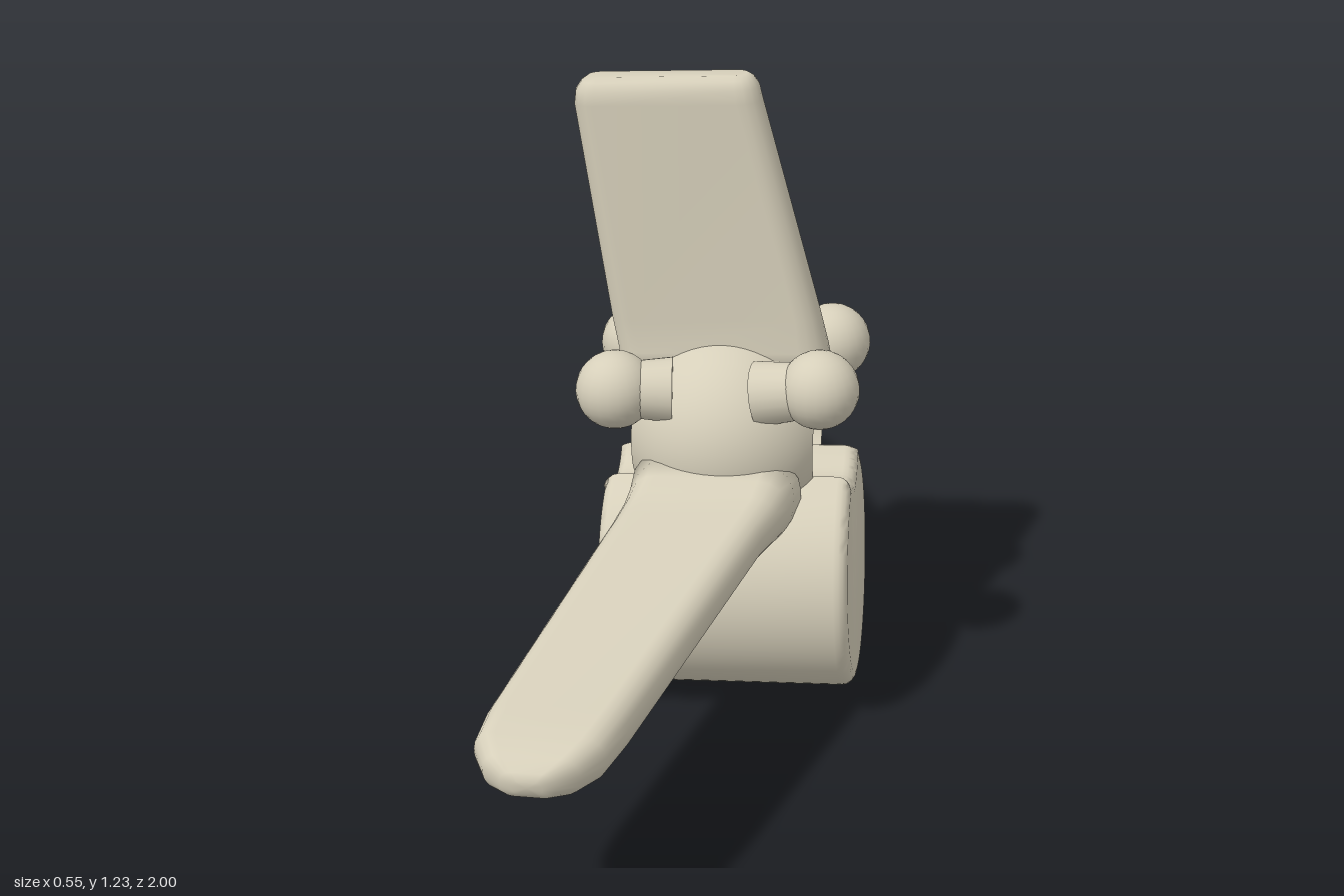
import * as THREE from 'three';
import { toCreasedNormals } from 'three/addons/utils/BufferGeometryUtils.js';

// Rounded slab along +y. Each section is [y, xMin, xMax, halfThickness]; slant tilts the sections.
function loft(sections, slant = 0) {
  const pos = [], idx = [], corner = 5, n = corner * 4;
  for (const [y, x0, x1, h] of sections) {
    const mid = (x0 + x1) / 2, w = (x1 - x0) / 2, r = Math.min(h * 0.85, w);
    for (let j = 0; j < n; j++) {
      const q = Math.floor(j / corner);
      const a = (q + (j % corner) / (corner - 1)) * Math.PI / 2;
      const sx = q === 0 || q === 3 ? 1 : -1, sz = q < 2 ? 1 : -1;
      const x = mid + sx * (w - r) + r * Math.cos(a);
      pos.push(x, y + slant * (x - mid), sz * (h - r) + r * Math.sin(a));
    }
  }
  const last = sections.length - 1;
  for (let i = 0; i < last; i++) {
    for (let j = 0; j < n; j++) {
      const k = (j + 1) % n, a = i * n + j, b = i * n + k;
      idx.push(a, a + n, b, b, a + n, b + n);
    }
  }
  // End caps
  for (const i of [0, last]) {
    const [y, x0, x1] = sections[i], c = pos.length / 3;
    pos.push((x0 + x1) / 2, y, 0);
    for (let j = 0; j < n; j++) {
      const a = i * n + j, b = i * n + (j + 1) % n;
      if (i) idx.push(c, b, a);
      else idx.push(c, a, b);
    }
  }
  const g = new THREE.BufferGeometry();
  g.setAttribute('position', new THREE.Float32BufferAttribute(pos, 3));
  g.setIndex(idx);
  g.computeVertexNormals();
  return g;
}

export function createModel() {
  const model = new THREE.Group();
  const clay = new THREE.MeshStandardMaterial({ name: 'clay beige', color: 0xd6cfba });
  const add = (name, geometry) => {
    const m = new THREE.Mesh(geometry, clay);
    m.name = name;
    model.add(m);
    return m;
  };
  const hubY = 0.535, hole = 0.1;

  // Drum: a disc with a round groove along its top, extruded along x and slightly tilted
  const R = 0.235, d = hubY - 0.247, groove = hole + 0.001;
  const lipY = (d * d + R * R - groove * groove) / (2 * d);
  const lipX = Math.sqrt(R * R - lipY * lipY);
  const lip = Math.atan2(lipY, lipX), bite = Math.atan2(lipY - d, lipX);
  const disc = new THREE.Shape();
  disc.absarc(0, 0, R, Math.PI - lip, Math.PI * 2 + lip, false);
  disc.absarc(0, d, groove, bite, -Math.PI - bite, true);
  const bevel = 0.025, length = 0.475;
  const drumGeo = new THREE.ExtrudeGeometry(disc, {
    depth: length - 2 * bevel, steps: 1, curveSegments: 40,
    bevelEnabled: true, bevelSize: bevel, bevelThickness: bevel, bevelOffset: -bevel, bevelSegments: 4,
  });
  drumGeo.translate(0, 0, bevel - length / 2).rotateY(Math.PI / 2);
  const drum = add('drum', toCreasedNormals(drumGeo, 0.8));
  drum.position.set(0.0275, 0.247, 0);
  drum.rotation.z = 0.045;

  // Hub: a ball bored through along x
  const hubR = 0.2, end = Math.acos(hole / hubR), profile = [];
  for (let i = 0; i <= 20; i++) {
    const a = -end + 2 * end * i / 20;
    profile.push(new THREE.Vector2(hubR * Math.cos(a), hubR * Math.sin(a)));
  }
  profile.push(profile[0].clone());
  const hubGeo = new THREE.LatheGeometry(profile, 48).rotateZ(Math.PI / 2);
  add('hub', toCreasedNormals(hubGeo, 0.9)).position.set(0.01, hubY, 0);

  // Upright fin
  add('fin', loft([
    [0.66, -0.2, 0.21, 0.06], [0.71, -0.2, 0.2, 0.06], [0.77, -0.212, 0.185, 0.051],
    [1.18, -0.275, 0.072, 0.05], [1.205, -0.272, 0.066, 0.047],
    [1.22, -0.262, 0.056, 0.038], [1.228, -0.25, 0.044, 0.025],
  ], 0.045));

  // Two swept blades, drooping to each side
  const bladeGeo = loft([
    [0.13, -0.155, 0.165, 0.072], [0.2, -0.152, 0.15, 0.068], [0.24, -0.155, 0.135, 0.058],
    [0.3, -0.165, 0.112, 0.051], [0.86, -0.268, -0.035, 0.046], [0.93, -0.272, -0.058, 0.044],
    [0.975, -0.248, -0.09, 0.036], [1.0, -0.215, -0.125, 0.024], [1.007, -0.195, -0.145, 0.012],
  ]);
  for (const s of [-1, 1]) {
    const blade = add(s > 0 ? 'frontBlade' : 'backBlade', bladeGeo);
    blade.position.y = 0.482;
    blade.rotation.x = s * (Math.PI / 2 + 0.148);
  }

  // Four knobs on short necks around the top of the hub
  const knobGeo = new THREE.SphereGeometry(0.074, 24, 16);
  const up = new THREE.Vector3(0, 1, 0);
  for (const sx of [-1, 1]) {
    for (const sz of [-1, 1]) {
      const knob = new THREE.Vector3(sx > 0 ? 0.197 : -0.186, sx > 0 ? 0.676 : 0.656, sz * 0.13);
      const root = new THREE.Vector3(sx * 0.08, 0.655, sz * 0.115);
      add('knob', knobGeo).position.copy(knob);
      const neck = add('knobNeck', new THREE.CylinderGeometry(0.05, 0.062, knob.distanceTo(root), 20));
      neck.position.copy(knob).add(root).multiplyScalar(0.5);
      neck.quaternion.setFromUnitVectors(up, knob.clone().sub(root).normalize());
    }
  }
  return model;
}
